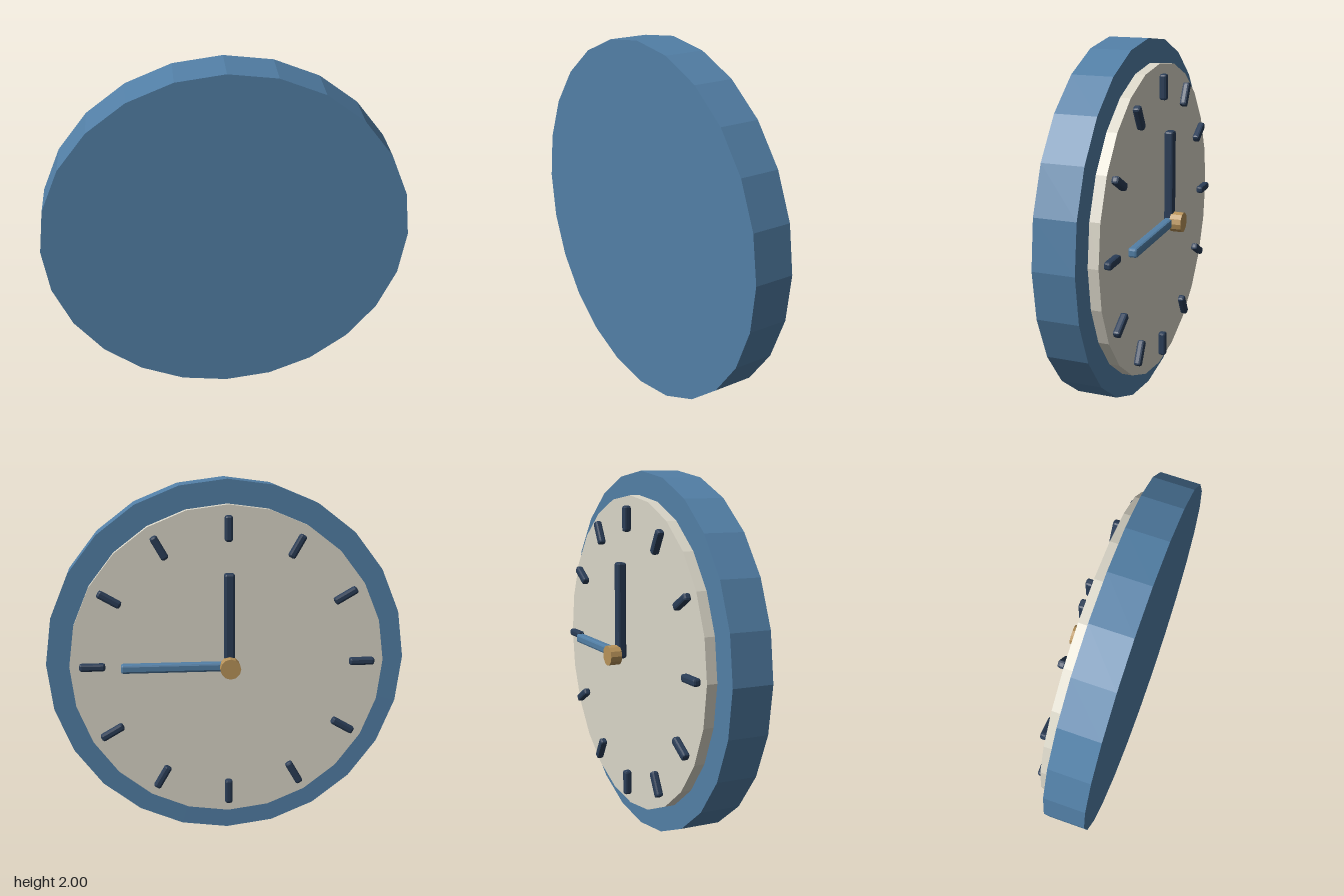
import * as THREE from 'three';
import { RoundedBoxGeometry } from 'three/addons/geometries/RoundedBoxGeometry.js';

const material = (color) => new THREE.MeshStandardMaterial({ color, flatShading: true });

export function createModel() {
  const clock = new THREE.Group();
  clock.name = 'wallClock';
  const blue = material(0x527fa6);
  const cream = material(0xdad6c8);
  const navy = material(0x2a3d57);
  const brass = material(0xb8935a);

  // Faceted disc lying in the xy plane between two depths
  function disc(name, radius, zBack, zFront, sides, mat) {
    const geometry = new THREE.CylinderGeometry(radius, radius, zFront - zBack, sides);
    geometry.rotateX(Math.PI / 2);
    const mesh = new THREE.Mesh(geometry, mat);
    mesh.name = name;
    mesh.position.set(0, 1, (zBack + zFront) / 2);
    clock.add(mesh);
  }

  // Bevelled bar reaching from inner to outer radius at an angle from twelve o'clock
  function bar(name, inner, outer, width, zBack, zFront, angle, mat) {
    const geometry = new RoundedBoxGeometry(width, outer - inner, zFront - zBack, 1, 0.012);
    geometry.translate(0, (inner + outer) / 2, 0);
    const mesh = new THREE.Mesh(geometry, mat);
    mesh.name = name;
    mesh.position.set(0, 1, (zBack + zFront) / 2);
    mesh.rotation.z = angle;
    clock.add(mesh);
  }

  // Case and dial; the dial looks towards -z
  disc('case', 1, -0.01, 0.215, 24, blue);
  disc('dial', 0.87, -0.075, -0.018, 24, cream);

  // Twelve hour marks
  for (let i = 0; i < 12; i++) {
    bar(`hourMark${i + 1}`, 0.675, 0.815, 0.042, -0.117, -0.075, (i * Math.PI) / 6, navy);
  }

  // Hands and centre cap
  bar('hourHand', -0.02, 0.51, 0.058, -0.16, -0.108, 0, navy);
  bar('minuteHand', 0, 0.59, 0.05, -0.164, -0.113, -Math.PI / 2, blue);
  disc('centreCap', 0.056, -0.215, -0.15, 12, brass);

  return clock;
}
